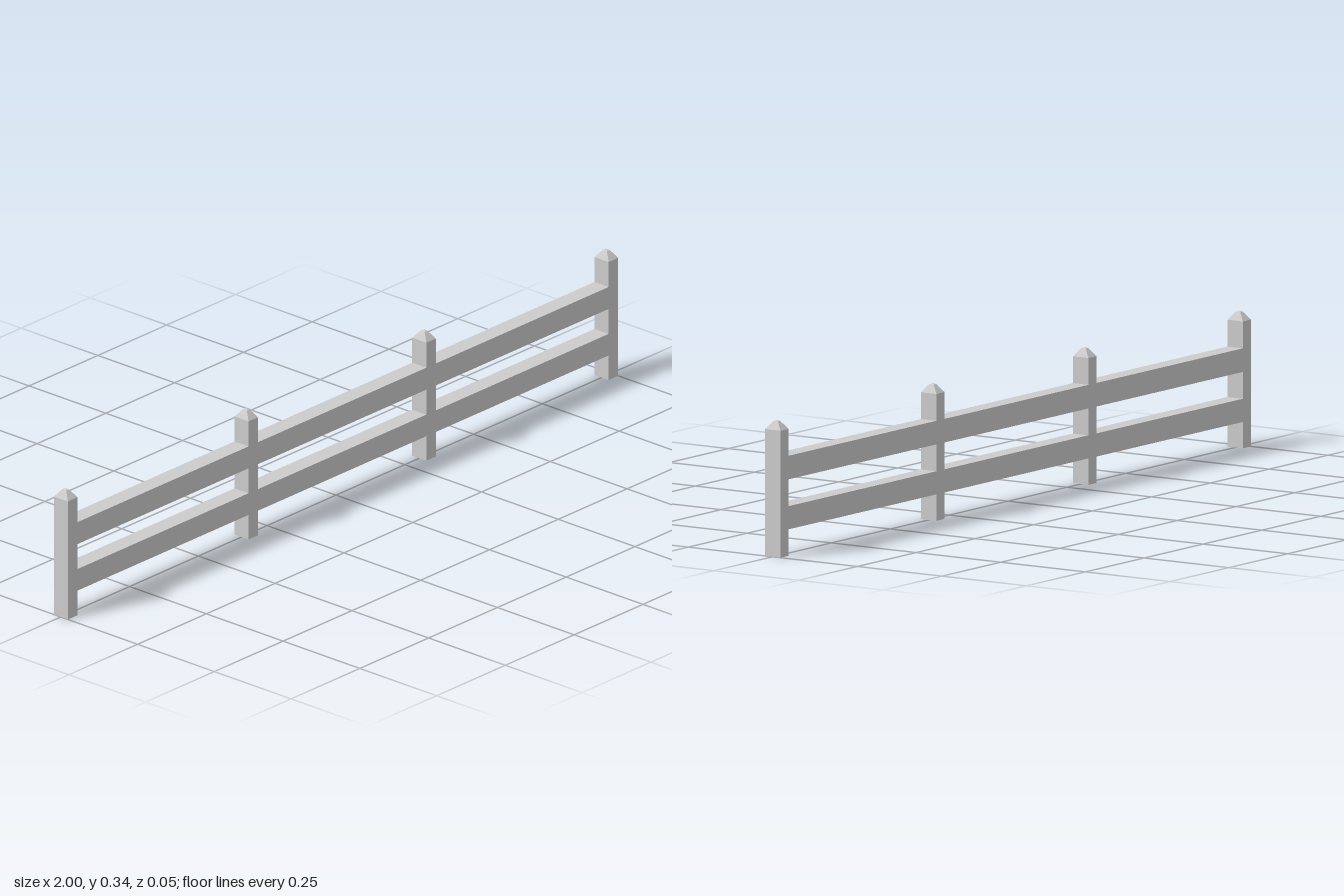
import * as THREE from 'three';

export function createModel() {
  const fence = new THREE.Group();
  fence.name = 'fence';
  const material = new THREE.MeshStandardMaterial({ color: 0xcccccc, flatShading: true });

  const halfW = 0.0175, halfD = 0.023;
  const postXs = [-1 + halfW, -0.326, 0.32, 1 - halfW];

  // Square post with a blunt pyramid top: a four-sided lathe, scaled to a rectangle
  const profile = [[0, 0], [1, 0], [1, 0.312], [0.28, 0.332], [0, 0.335]]
    .map(([r, y]) => new THREE.Vector2(r * Math.SQRT2, y));
  const postGeometry = new THREE.LatheGeometry(profile, 4, Math.PI / 4);
  postGeometry.scale(halfW, 1, halfD);

  postXs.forEach((x, i) => {
    const post = new THREE.Mesh(postGeometry, material);
    post.name = `post${i + 1}`;
    post.position.x = x;
    fence.add(post);
  });

  // Rails flush with the posts, one section per bay
  const rails = { lowerRail: [0.065, 0.122], upperRail: [0.188, 0.246] };
  for (const [name, [y0, y1]] of Object.entries(rails)) {
    const rail = new THREE.Group();
    rail.name = name;
    for (let i = 0; i < postXs.length - 1; i++) {
      const x0 = postXs[i] + halfW, x1 = postXs[i + 1] - halfW;
      const section = new THREE.Mesh(new THREE.BoxGeometry(x1 - x0, y1 - y0, halfD * 2), material);
      section.name = `${name}Section${i + 1}`;
      section.position.set((x0 + x1) / 2, (y0 + y1) / 2, 0);
      rail.add(section);
    }
    fence.add(rail);
  }
  return fence;
}
